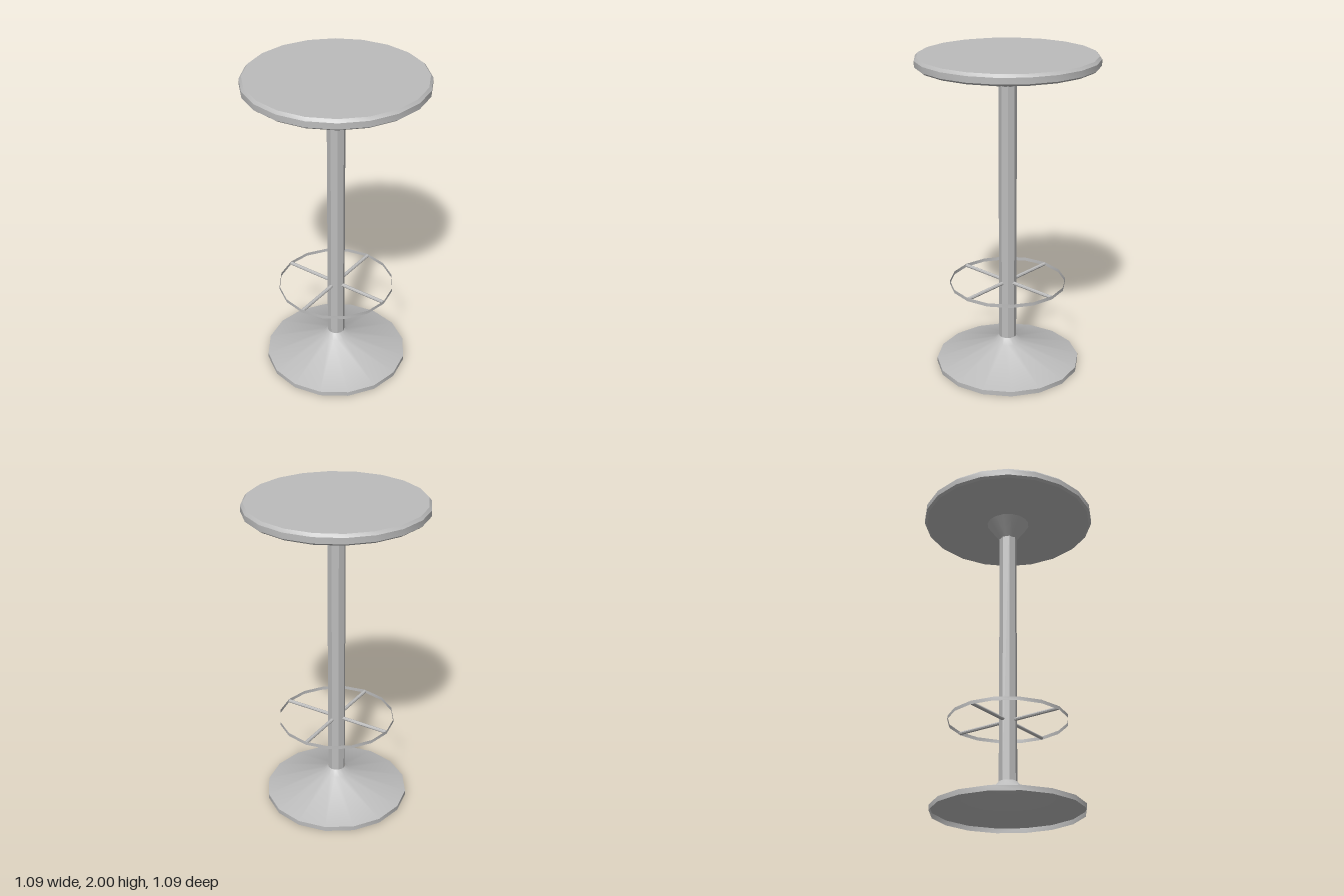
import * as THREE from 'three';
import { toCreasedNormals } from 'three/addons/utils/BufferGeometryUtils.js';

const CREASE = 0.62; // keeps chamfers and pole facets sharp, smooths the round sides

export function createModel() {
  const model = new THREE.Group();
  model.name = 'barStool';

  const metal = new THREE.MeshStandardMaterial({ color: 0xbcbcbc });
  metal.name = 'grey';
  metal.side = THREE.DoubleSide; // base shell and foot ring are open surfaces

  const add = (name, geometry, parent = model) => {
    const mesh = new THREE.Mesh(toCreasedNormals(geometry, CREASE), metal);
    mesh.name = name;
    parent.add(mesh);
    return mesh;
  };
  // Profiles run from bottom to top as [radius, height]
  const lathe = (profile, sides) =>
    new THREE.LatheGeometry(profile.map(([r, y]) => new THREE.Vector2(r, y)), sides);

  // Round seat with chamfered rims
  add('seat', lathe([
    [0, 1.935], [0.53, 1.935], [0.545, 1.947], [0.545, 1.983], [0.53, 2], [0, 2],
  ], 20));

  // Flared collar under the seat
  add('seatCollar', lathe([[0.053, 1.82], [0.135, 1.935]], 16));

  // Eight-sided pole
  const bottom = 0.17, top = 1.93;
  add('pole', new THREE.CylinderGeometry(0.055, 0.055, top - bottom, 8))
    .position.y = (top + bottom) / 2;

  // Hollow trumpet base, open underneath
  add('base', lathe([[0.455, 0], [0.455, 0.03], [0.09, 0.147], [0.055, 0.185]], 16));

  // Foot rest: thin vertical band on four spokes
  const footRest = new THREE.Group();
  footRest.name = 'footRest';
  footRest.position.y = 0.562;
  model.add(footRest);
  add('footRing', lathe([[0.363, -0.011], [0.363, 0.011]], 16), footRest);

  const inner = 0.045, outer = 0.36;
  for (let i = 0; i < 4; i++) {
    const spoke = new THREE.CylinderGeometry(0.011, 0.011, outer - inner, 8);
    spoke.rotateX(Math.PI / 2);
    spoke.translate(0, 0, (inner + outer) / 2);
    spoke.rotateY(i * Math.PI / 2);
    add('footSpoke', spoke, footRest);
  }

  return model;
}
